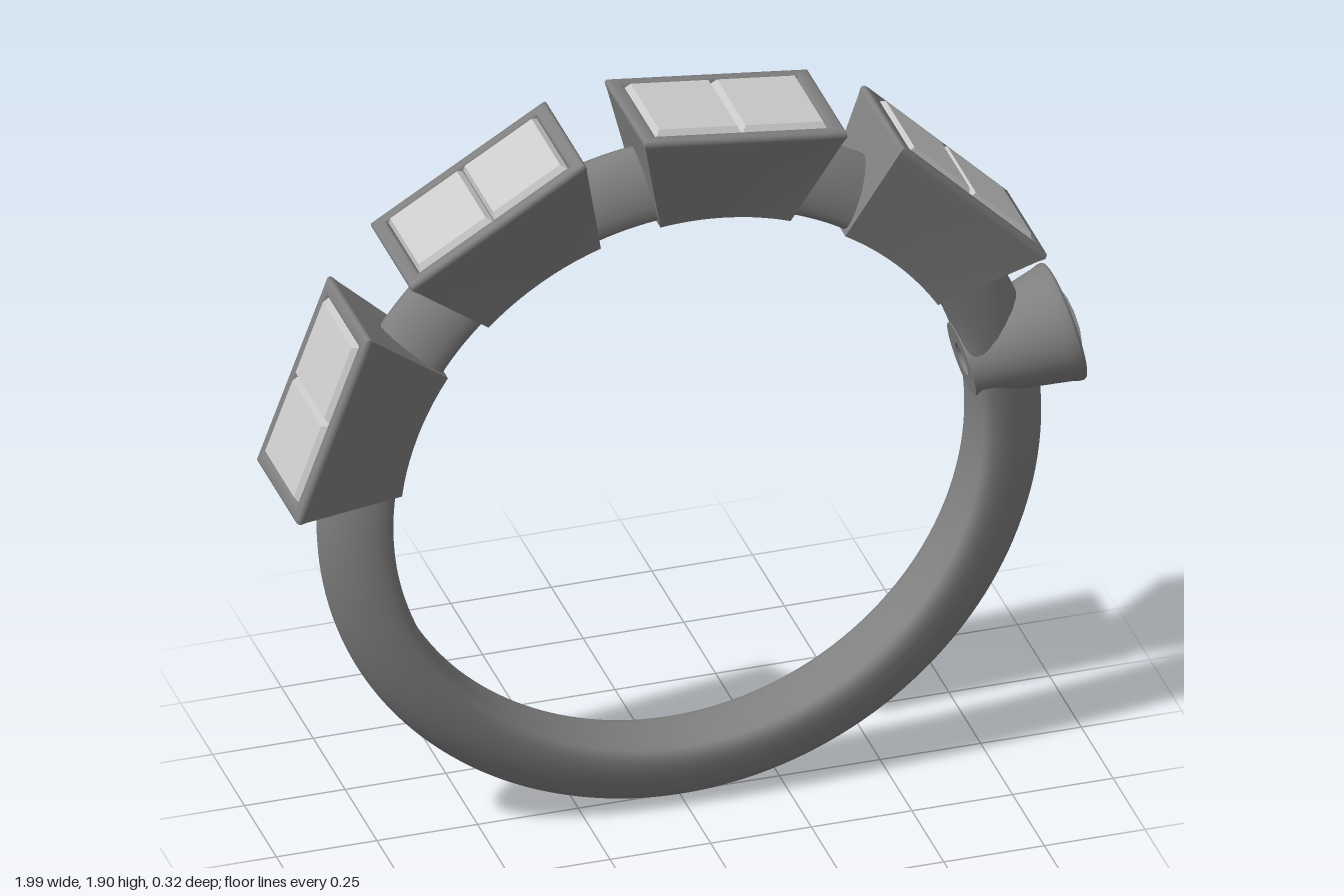
import * as THREE from 'three';
import { toCreasedNormals } from 'three/addons/utils/BufferGeometryUtils.js';
import { ConvexGeometry } from 'three/addons/geometries/ConvexGeometry.js';

const metal = new THREE.MeshStandardMaterial({ color: 0x808080 });
const stone = new THREE.MeshStandardMaterial({ color: 0xcccccc, flatShading: true });
const rad = THREE.MathUtils.degToRad;

const HEADS = [-69.5, -31, 7, 45]; // degrees clockwise from the top
const HEAD_HALF = 11.5;
const BEZEL = 76.7;
const BEZEL_HALF = 3.7;

function mesh(name, geometry, material) {
  const m = new THREE.Mesh(geometry, material);
  m.name = name;
  return m;
}

// Joins rectangular sections [halfX, halfZ, y, curved]; a curved one follows the finger hole.
function loft(sections, n, closed) {
  const pos = [], index = [], count = 2 * (n + 1);
  for (const [hx, hz, y, curved] of sections) {
    for (let j = 0; j < count; j++) {
      const front = j <= n;
      const t = front ? j / n : (count - 1 - j) / n;
      const x = hx * (2 * t - 1);
      pos.push(x, curved ? Math.sqrt(y * y - x * x) : y, front ? hz : -hz);
    }
  }
  const rows = sections.length;
  for (let i = 0; i < (closed ? rows : rows - 1); i++) {
    const k = (i + 1) % rows;
    for (let j = 0; j < count; j++) {
      const l = (j + 1) % count;
      const a = i * count + j, b = i * count + l, c = k * count + l, d = k * count + j;
      index.push(a, b, c, a, c, d);
    }
  }
  const g = new THREE.BufferGeometry();
  g.setAttribute('position', new THREE.Float32BufferAttribute(pos, 3));
  g.setIndex(index);
  return g;
}

// D-shaped band between two angles, clockwise from the top
function bandArc(from, to) {
  const outer = [[0.73, 0.06], [0.733, 0.075], [0.742, 0.084], [0.757, 0.088], [0.78, 0.087],
    [0.81, 0.081], [0.84, 0.068], [0.87, 0.048], [0.89, 0.025], [0.897, 0.011], [0.9, 0]];
  const profile = [
    ...outer.map(([r, z]) => new THREE.Vector2(r, -z)),
    ...outer.slice(0, -1).reverse().map(([r, z]) => new THREE.Vector2(r, z)),
    new THREE.Vector2(0.73, -0.06),
  ];
  const segments = Math.max(6, Math.ceil((to - from) / 2));
  const g = new THREE.LatheGeometry(profile, segments, Math.PI - rad(to), rad(to - from));
  g.rotateX(Math.PI / 2);
  return mesh('band', toCreasedNormals(g, 0.9), metal);
}

// Flared rectangular setting, open through to the finger side, with two step-cut stones
function rectangularHead() {
  const group = new THREE.Group();
  group.name = 'rectangularHead';
  const setting = loft([
    [0.163, 0.095, 0.724, true],
    [0.247, 0.153, 0.947],
    [0.252, 0.157, 0.959],
    [0.254, 0.158, 0.965],
    [0.251, 0.155, 0.973],
    [0.244, 0.148, 0.976],
    [0.226, 0.133, 0.976],
    [0.22, 0.128, 0.973],
    [0.216, 0.125, 0.965],
    [0.213, 0.123, 0.93],
    [0.1, 0.05, 0.724, true],
  ], 10, true);
  group.add(mesh('setting', toCreasedNormals(setting, 0.9), metal));

  const gem = toCreasedNormals(loft([
    [0, 0, 0.84], [0.03, 0.05, 0.84], [0.107, 0.124, 0.945], [0.107, 0.124, 0.966],
    [0.097, 0.112, 0.983], [0, 0, 0.983],
  ], 1, false), 0.01);
  for (const side of [-1, 1]) {
    const g = mesh('rectangularStone', gem, stone);
    g.position.x = side * 0.108;
    group.add(g);
  }
  return group;
}

// Conical tube setting with a round faceted stone
function roundBezel() {
  const group = new THREE.Group();
  group.name = 'roundBezel';
  const profile = [
    [0.092, 0.722], [0.142, 0.955], [0.147, 0.97], [0.148, 0.978], [0.145, 0.984],
    [0.138, 0.987], [0.126, 0.986], [0.12, 0.982], [0.116, 0.973], [0.112, 0.93],
    [0.041, 0.8], [0.041, 0.722], [0.092, 0.722],
  ].map(([x, y]) => new THREE.Vector2(x, y));
  group.add(mesh('setting', toCreasedNormals(new THREE.LatheGeometry(profile, 48), 0.9), metal));

  const points = [new THREE.Vector3(0, 0.85, 0)];
  const ring = (r, y, n, offset) => {
    for (let i = 0; i < n; i++) {
      const a = ((i + offset) / n) * Math.PI * 2;
      points.push(new THREE.Vector3(r * Math.cos(a), y, r * Math.sin(a)));
    }
  };
  ring(0.055, 1.006, 8, 0);
  ring(0.088, 0.996, 8, 0.5);
  ring(0.117, 0.976, 16, 0);
  ring(0.117, 0.963, 16, 0);
  group.add(mesh('roundStone', new ConvexGeometry(points), stone));
  return group;
}

export function createModel() {
  const ring = new THREE.Group();
  ring.name = 'ring';

  // Band pieces run from one setting wall to the next, leaving the windows open
  const stops = [
    ...HEADS.map((a) => [a, HEAD_HALF]),
    [BEZEL, BEZEL_HALF],
    [HEADS[0] + 360, HEAD_HALF],
  ];
  for (let i = 0; i < stops.length - 1; i++) {
    const [a, ha] = stops[i], [b, hb] = stops[i + 1];
    ring.add(bandArc(a + ha, b - hb));
  }

  for (const a of HEADS) {
    const head = rectangularHead();
    head.rotation.z = -rad(a);
    ring.add(head);
  }
  const bezel = roundBezel();
  bezel.rotation.z = -rad(BEZEL);
  ring.add(bezel);

  ring.position.y = 0.9;
  const model = new THREE.Group();
  model.add(ring);
  return model;
}
